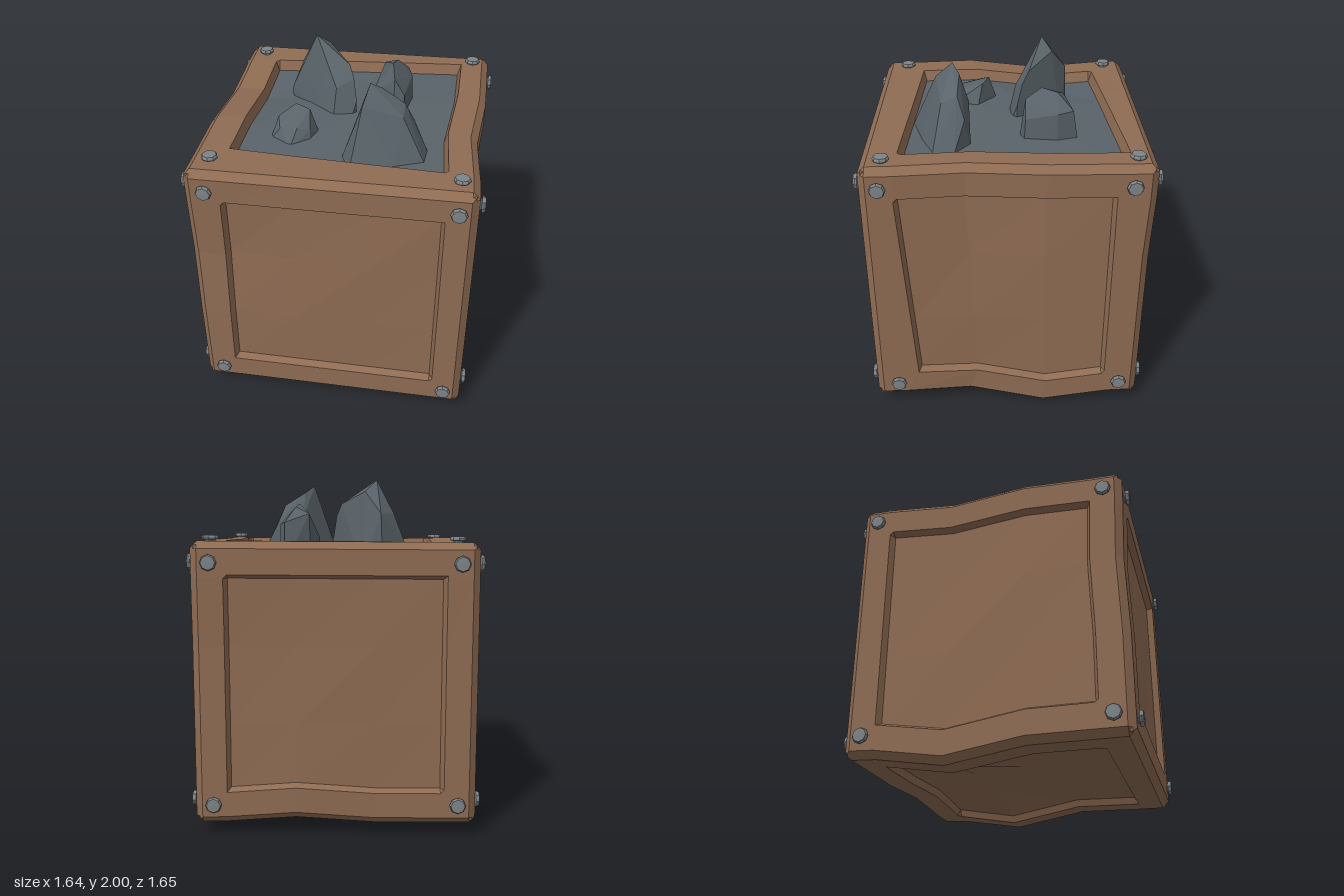
import * as THREE from 'three';
import { ConvexGeometry } from 'three/addons/geometries/ConvexGeometry.js';

const HALF = 0.785, MID_Y = 0.858;
const mat = (name, color) => {
  const m = new THREE.MeshStandardMaterial({ color, flatShading: true });
  m.name = name;
  return m;
};
const V = (x, y, z) => new THREE.Vector3(x, y, z);
const hat = (t, c) => Math.max(0, 1 - Math.abs(t - c) / 0.43);

// Sides of the crate: horizontal axis, vertical axis, outward axis, panel recess,
// and shifts of the panel opening's corners (bottom left/right, top left/right)
const NONE = [[0, 0], [0, 0], [0, 0], [0, 0]];
const SIDES = [
  { name: 'front', u: V(1, 0, 0), v: V(0, 1, 0), n: V(0, 0, 1), recess: 0.04, open: [[-0.005, 0], [0.01, 0], [0.01, 0], [0.01, 0]] },
  { name: 'back', u: V(-1, 0, 0), v: V(0, 1, 0), n: V(0, 0, -1), recess: 0.04, open: NONE },
  { name: 'left', u: V(0, 0, -1), v: V(0, 1, 0), n: V(1, 0, 0), recess: 0.04, open: [[0.075, 0], [-0.02, 0], [0, 0], [-0.02, 0]] },
  { name: 'right', u: V(0, 0, 1), v: V(0, 1, 0), n: V(-1, 0, 0), recess: 0.04, open: NONE },
  { name: 'top', u: V(1, 0, 0), v: V(0, 0, -1), n: V(0, 1, 0), recess: 0.065, open: [[0.01, 0.075], [0.01, 0.015], [0.02, -0.035], [0.01, 0.06]] },
  { name: 'bottom', u: V(1, 0, 0), v: V(0, 0, 1), n: V(0, -1, 0), recess: 0.04, open: NONE },
];

// Bends the rails so the crate looks hand-cut; shared by all sides so edges meet
function warp(p) {
  const { x, y, z } = p;
  if (y < 0.4 && Math.abs(x) > 0.5) p.y -= 0.07 * hat(z, -0.22);
  if (y < 0.4 && z < -0.5) {
    p.y += 0.035 * hat(x, 0.22);
    p.z -= 0.015 * hat(x, 0.22);
  }
  if (x > 0.5) p.x -= 0.035 * hat(z, 0.22);
  if (y > 1.2 && x < -0.5) p.y += 0.015 * hat(z, 0.22) - 0.035 * hat(z, -0.22);
  if (x < -0.5 && z > 0.5) p.z -= 0.015 * hat(y, MID_Y + 0.22);
  if (x < -0.7) p.x -= 0.009 * (z + 0.7);
  if (y > 1.2) p.y += 0.006 * (x - z);
  if (y > 1.2 && z < -0.7) p.z -= 0.01 * (x + 0.7);
  return p;
}

// Grid lines across a side: chamfer, rail, opening, panel
const LINES = [-0.765, -0.745, -0.605, -0.585, -0.22, 0.22, 0.585, 0.605, 0.745, 0.765];

function sidePoint(side, f, i, j) {
  const ring = Math.min(i, j, 9 - i, 9 - j);
  let u = LINES[i], v = LINES[j], d = [0.02, 0, 0, side.recess, side.recess - 0.008][ring];
  if (ring >= 2) {
    const s = (u / 0.605 + 1) / 2, t = (v / 0.605 + 1) / 2;
    const w = [(1 - s) * (1 - t), s * (1 - t), (1 - s) * t, s * t];
    w.forEach((k, c) => { u += k * side.open[c][0]; v += k * side.open[c][1]; });
  }
  if (ring === 4) d += 0.02 * Math.sin(i * 12.9 + j * 78.2 + f * 37.7); // uneven boards
  const p = V(0, MID_Y, 0).addScaledVector(side.u, u).addScaledVector(side.v, v)
    .addScaledVector(side.n, HALF - d);
  return warp(p);
}

function sideGeometry(side, f, wantPanel) {
  const pts = [];
  for (let i = 0; i < 9; i++) for (let j = 0; j < 9; j++) {
    const panel = i >= 3 && i < 6 && j >= 3 && j < 6;
    if (panel !== wantPanel) continue;
    const [a, b, c, d] = [[i, j], [i + 1, j], [i + 1, j + 1], [i, j + 1]]
      .map(([k, l]) => sidePoint(side, f, k, l));
    pts.push(a, b, c, a, c, d);
  }
  const g = new THREE.BufferGeometry().setFromPoints(pts);
  g.computeVertexNormals();
  return g;
}

// Rocks as convex hulls of a few corners
const ROCKS = {
  tallBackRock: [
    [-0.41, 1.5, -0.26], [-0.27, 1.5, -0.38], [-0.15, 1.5, -0.34], [0.02, 1.5, -0.07], [-0.02, 1.5, -0.02], [-0.12, 1.5, -0.01],
    [-0.41, 1.62, -0.27], [-0.34, 1.8, -0.28], [-0.26, 1.8, -0.37], [-0.24, 2.0, -0.22], [-0.17, 1.93, -0.28],
    [-0.03, 1.86, -0.14], [0.0, 1.79, -0.1], [-0.1, 1.74, -0.06], [0.02, 1.66, -0.07], [-0.28, 1.74, -0.19]],
  smallBackRock: [
    [0.1, 1.5, -0.17], [0.24, 1.5, -0.07], [0.31, 1.5, -0.1], [0.34, 1.5, -0.29], [0.3, 1.5, -0.42], [0.15, 1.5, -0.33],
    [0.1, 1.66, -0.19], [0.16, 1.8, -0.33], [0.22, 1.86, -0.2], [0.24, 1.84, -0.29], [0.3, 1.75, -0.38],
    [0.33, 1.74, -0.29], [0.24, 1.8, -0.11], [0.3, 1.7, -0.11]],
  tallFrontRock: [
    [0.01, 1.57, 0.42], [0.07, 1.57, 0.545], [0.3, 1.57, 0.48], [0.47, 1.57, 0.41], [0.48, 1.57, 0.29], [0.36, 1.57, 0.2], [0.2, 1.57, 0.21],
    [0.15, 1.985, 0.3], [0.12, 1.89, 0.4], [0.21, 1.94, 0.26], [0.34, 1.86, 0.27], [0.34, 1.82, 0.36], [0.22, 1.78, 0.21], [0.39, 1.74, 0.23]],
  lowRock: [
    [-0.43, 1.56, 0.16], [-0.31, 1.56, 0.05], [-0.16, 1.56, 0.17], [-0.2, 1.56, 0.28], [-0.3, 1.56, 0.36], [-0.43, 1.56, 0.28],
    [-0.4, 1.66, 0.17], [-0.31, 1.71, 0.1], [-0.22, 1.7, 0.14], [-0.2, 1.63, 0.25], [-0.27, 1.65, 0.28], [-0.37, 1.64, 0.28]],
};

export function createModel() {
  const model = new THREE.Group();
  model.name = 'crateOfRocks';
  const wood = mat('wood', 0x8f6c53);
  const stone = mat('stone', 0x596369);
  const metal = mat('metal', 0x7d8488);
  const add = (parent, name, geo, material) => {
    const m = new THREE.Mesh(geo, material);
    m.name = name;
    parent.add(m);
    return m;
  };

  // Crate sides: framed rails around sunken panels, stone filling on top
  const crate = new THREE.Group();
  crate.name = 'crate';
  SIDES.forEach((side, f) => {
    const isTop = side.name === 'top';
    add(crate, side.name + 'Frame', sideGeometry(side, f, false), wood);
    add(crate, isTop ? 'stoneFilling' : side.name + 'Panel', sideGeometry(side, f, true), isTop ? stone : wood);
  });

  // Bolts at the corners of every side but the bottom, following the opening's corners
  const bolts = new THREE.Group();
  bolts.name = 'bolts';
  const profile = [[0.03, -0.02], [0.03, 0.006], [0.045, 0.01], [0.045, 0.02], [0.039, 0.03], [0, 0.031]]
    .map(([r, y]) => new THREE.Vector2(r, y));
  const boltGeo = new THREE.LatheGeometry(profile, 8);
  SIDES.slice(0, 5).forEach((side) => {
    side.open.forEach(([du, dv], c) => {
      const u = (c % 2 ? 0.68 : -0.68) + 0.4 * du;
      const v = (c < 2 ? -0.67 : 0.67) + 0.4 * dv;
      const bolt = add(bolts, side.name + 'Bolt', boltGeo, metal);
      const p = V(0, MID_Y, 0).addScaledVector(side.u, u).addScaledVector(side.v, v)
        .addScaledVector(side.n, HALF);
      bolt.position.copy(warp(p));
      bolt.quaternion.setFromUnitVectors(V(0, 1, 0), side.n);
    });
  });

  // Rocks sticking out of the filling
  const rocks = new THREE.Group();
  rocks.name = 'rocks';
  for (const [name, pts] of Object.entries(ROCKS)) {
    add(rocks, name, new ConvexGeometry(pts.map((p) => V(...p))), stone);
  }

  model.add(crate, bolts, rocks);
  return model;
}
